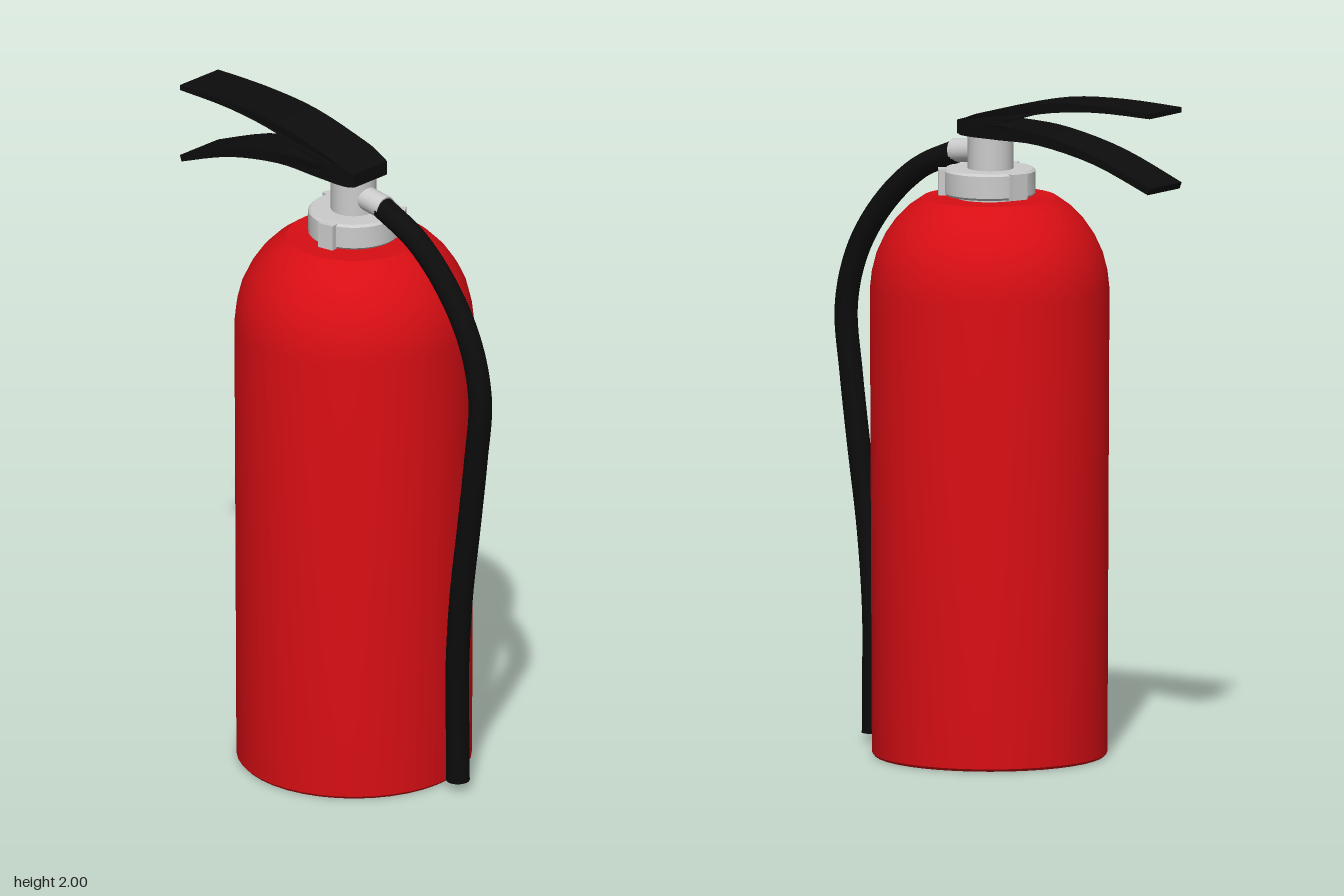
import * as THREE from 'three';
import { toCreasedNormals } from 'three/addons/utils/BufferGeometryUtils.js';

const CX = 0.037; // axis of the cylinder
const red = new THREE.MeshStandardMaterial({ color: 0xd80e14 });
const black = new THREE.MeshStandardMaterial({ color: 0x0c0c0c });
const grey = new THREE.MeshStandardMaterial({ color: 0xcccccc });

function add(parent, name, geometry, material, x = 0, y = 0, z = 0) {
  const mesh = new THREE.Mesh(geometry, material);
  mesh.name = name;
  mesh.position.set(x, y, z);
  parent.add(mesh);
  return mesh;
}

const v2 = (list) => list.map(([x, y]) => new THREE.Vector2(x, y));

// Curved strip: top and bottom edge curves in side view, extruded across z
function leverGeometry(top, bottom) {
  const width = 0.164;
  const upper = new THREE.SplineCurve(v2(top)).getPoints(20);
  const lower = new THREE.SplineCurve(v2(bottom)).getPoints(20);
  const shape = new THREE.Shape([...lower, ...upper.reverse()]);
  const geo = new THREE.ExtrudeGeometry(shape, { depth: width, bevelEnabled: false });
  geo.translate(0, 0, -width / 2);
  // narrow the strip towards the valve end
  const p = geo.attributes.position;
  for (let i = 0; i < p.count; i++) {
    const t = Math.max(0, (p.getX(i) - 0.03) / 0.075);
    p.setZ(i, p.getZ(i) * (1 - 0.14 * t * t));
  }
  return toCreasedNormals(geo, 0.6);
}

export function createModel() {
  const model = new THREE.Group();
  model.name = 'fireExtinguisher';

  // Tank with rounded shoulder and flat top
  const tank = v2([
    [0, 0], [0.343, 0], [0.35, 0.008], [0.356, 1.4], [0.35, 1.455], [0.336, 1.51],
    [0.313, 1.56], [0.28, 1.608], [0.24, 1.648], [0.2, 1.676], [0.185, 1.676], [0, 1.672],
  ]);
  add(model, 'tank', toCreasedNormals(new THREE.LatheGeometry(tank, 40), 0.5), red, CX);

  // Neck, collar nut and its three lugs
  const valve = new THREE.Group();
  valve.name = 'valve';
  valve.position.x = CX;
  model.add(valve);
  add(valve, 'neck', new THREE.CylinderGeometry(0.1, 0.1, 0.05, 32), grey, 0, 1.69);
  const nut = v2([[0, 1.683], [0.13, 1.683], [0.137, 1.69], [0.137, 1.756], [0.13, 1.763], [0, 1.763]]);
  add(valve, 'collarNut', toCreasedNormals(new THREE.LatheGeometry(nut, 36), 0.5), grey);
  for (let i = 0; i < 3; i++) {
    const a = THREE.MathUtils.degToRad(-38 + i * 118);
    const lug = add(valve, 'collarLug', new THREE.BoxGeometry(0.05, 0.078, 0.052), grey,
      Math.cos(a) * 0.128, 1.723, Math.sin(a) * 0.128);
    lug.rotation.y = -a;
  }

  // Valve stem and hose outlet
  add(valve, 'stem', new THREE.CylinderGeometry(0.068, 0.068, 0.13, 32), grey, -0.003, 1.82);
  const outlet = add(valve, 'hoseOutlet', new THREE.CylinderGeometry(0.036, 0.036, 0.12, 20), grey,
    0.073, 1.81, 0.004);
  outlet.rotation.z = -Math.PI / 2 - 0.12;

  // Squeeze lever above, carrying handle below
  add(model, 'squeezeLever', leverGeometry(
    [[-0.605, 1.993], [-0.4, 1.999], [-0.2, 1.988], [0, 1.944], [0.07, 1.921], [0.105, 1.911]],
    [[-0.605, 1.977], [-0.4, 1.978], [-0.2, 1.955], [0, 1.9], [0.07, 1.88], [0.105, 1.869]],
  ), black);
  add(model, 'carryHandle', leverGeometry(
    [[-0.605, 1.767], [-0.4, 1.848], [-0.2, 1.895], [-0.05, 1.907], [0.07, 1.905], [0.1, 1.9]],
    [[-0.598, 1.748], [-0.4, 1.822], [-0.2, 1.861], [-0.05, 1.864], [0.07, 1.865], [0.1, 1.868]],
  ), black);

  // Hose with closed ends
  const path = new THREE.CatmullRomCurve3([
    [0.16, 1.802, 0.005], [0.3, 1.738, 0.006], [0.43, 1.62, 0.007], [0.525, 1.47, 0.008],
    [0.566, 1.3, 0.008], [0.548, 1.1, 0.008], [0.518, 0.88, 0.006], [0.48, 0.64, 0],
    [0.452, 0.4, -0.012], [0.447, 0.2, -0.018], [0.447, 0.03, -0.02],
  ].map((p) => new THREE.Vector3(...p)));
  add(model, 'hose', new THREE.TubeGeometry(path, 64, 0.035, 16), black);
  for (const t of [0, 1]) {
    const cap = add(model, 'hoseEnd', new THREE.CircleGeometry(0.035, 16), black);
    cap.position.copy(path.getPoint(t));
    const out = path.getTangent(t).multiplyScalar(t ? 1 : -1);
    cap.quaternion.setFromUnitVectors(new THREE.Vector3(0, 0, 1), out);
  }

  return model;
}
